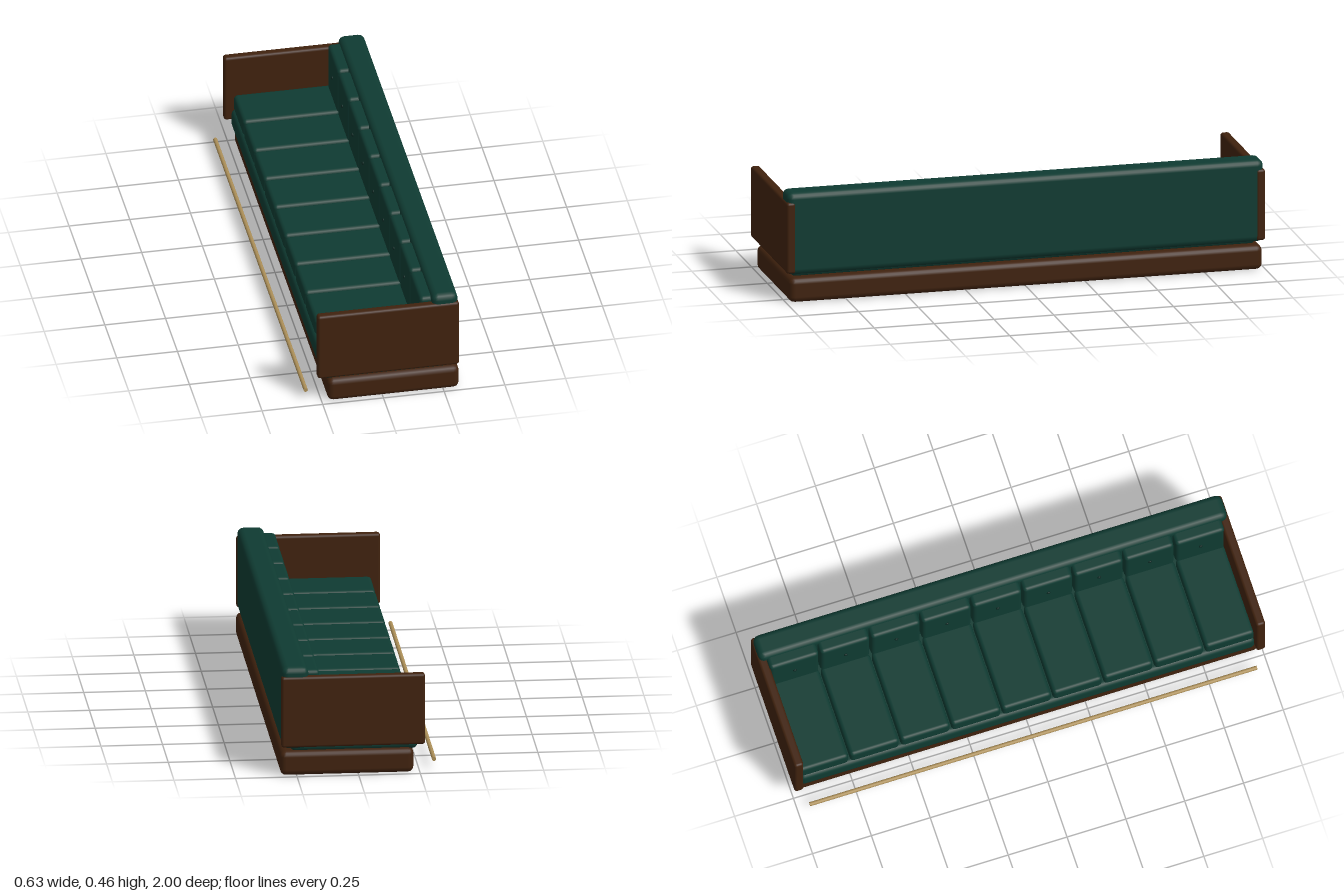
import * as THREE from 'three';
import { RoundedBoxGeometry } from 'three/addons/geometries/RoundedBoxGeometry.js';

const material = (name, color) => {
  const m = new THREE.MeshStandardMaterial({ color });
  m.name = name;
  return m;
};

export function createModel() {
  const model = new THREE.Group();
  model.name = 'sofa';
  const green = material('green upholstery', 0x0f3b32);
  const darkGreen = material('dark green button', 0x0a2822);
  const wood = material('dark brown wood', 0x40220e);
  const brass = material('brass', 0xac8f58);

  // Softened block given by its extents on each axis
  const block = (name, mat, [x0, x1], [y0, y1], [z0, z1], radius) => {
    const geo = new RoundedBoxGeometry(x1 - x0, y1 - y0, z1 - z0, 2, radius);
    const mesh = new THREE.Mesh(geo, mat);
    mesh.name = name;
    mesh.position.set((x0 + x1) / 2, (y0 + y1) / 2, (z0 + z1) / 2);
    model.add(mesh);
    return mesh;
  };

  // Plinth, seat deck and long backrest
  block('plinth', wood, [-0.225, 0.316], [0, 0.102], [-0.988, 0.988], 0.024);
  block('seatDeck', green, [-0.243, 0.273], [0.094, 0.178], [-0.968, 0.968], 0.022);
  block('backrest', green, [0.202, 0.31], [0.114, 0.458], [-0.995, 0.995], 0.026);

  // Panel arms at both ends
  for (const s of [-1, 1]) {
    const z = s < 0 ? [-1, -0.962] : [0.962, 1];
    block(s < 0 ? 'rearArm' : 'frontArm', wood, [-0.27, 0.313], [0.122, 0.42], z, 0.011);
  }

  // Nine seat cushions with nine buttoned back cushions
  const count = 9;
  const pitch = 0.2155;
  const buttonGeo = new THREE.SphereGeometry(0.008, 12, 8);
  for (let i = 0; i < count; i++) {
    const z = (i - (count - 1) / 2) * pitch;
    const span = [z - 0.104, z + 0.104];
    block('seatCushion', green, [-0.232, 0.17], [0.168, 0.243], span, 0.016);
    block('backCushion', green, [0.156, 0.23], [0.225, 0.438], span, 0.016);
    const button = new THREE.Mesh(buttonGeo, darkGreen);
    button.name = 'button';
    button.position.set(0.154, 0.34, z);
    button.scale.x = 0.6;
    model.add(button);
  }

  // Foot rail running along the seat side
  const rail = new THREE.Mesh(new THREE.CylinderGeometry(0.0085, 0.0085, 1.9, 16), brass);
  rail.name = 'footRail';
  rail.rotation.x = Math.PI / 2;
  rail.position.set(-0.31, 0.045, 0);
  model.add(rail);

  return model;
}
